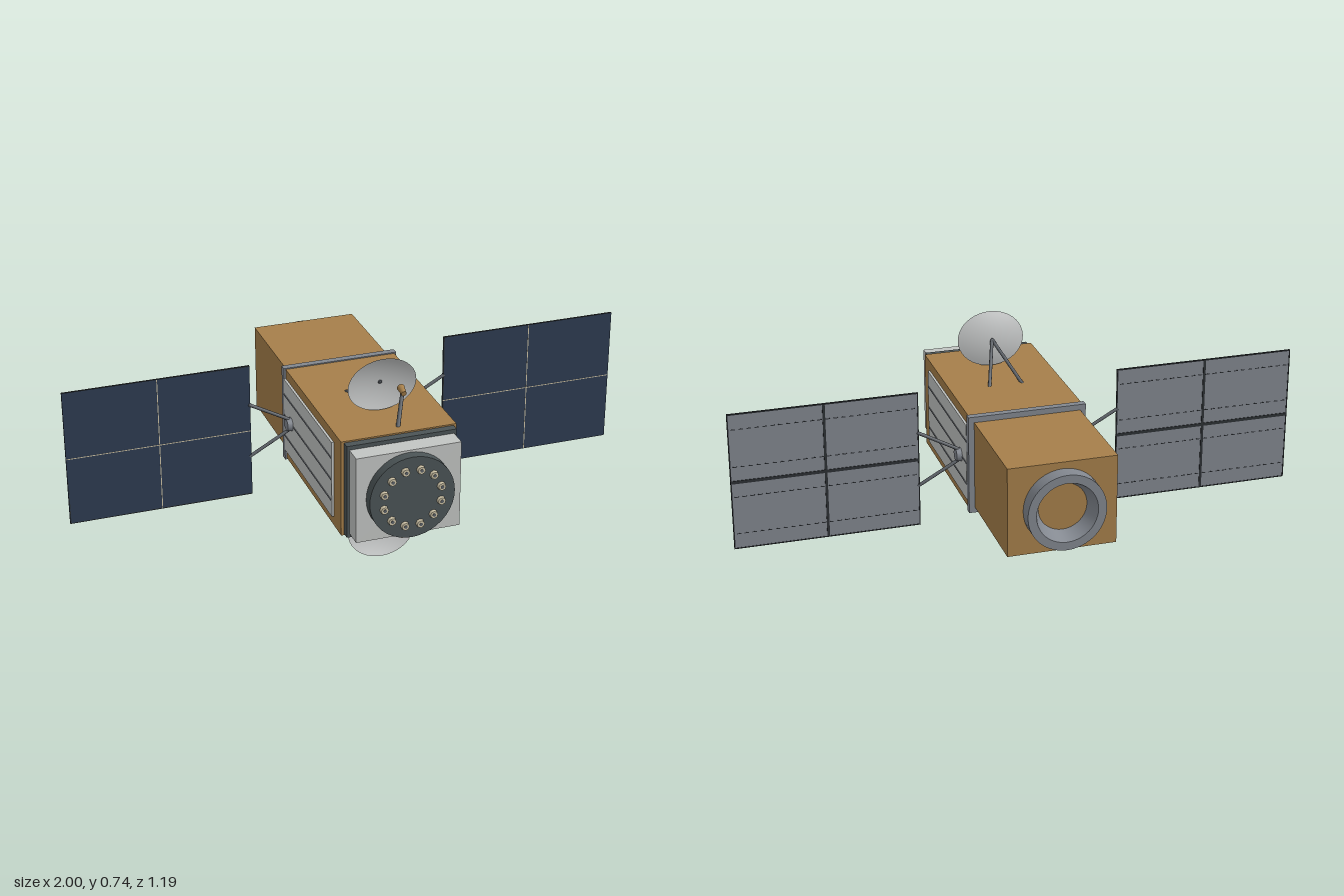
import * as THREE from 'three';
import { toCreasedNormals } from 'three/addons/utils/BufferGeometryUtils.js';

const material = (name, color, side = THREE.FrontSide) => {
  const m = new THREE.MeshStandardMaterial({ color, side });
  m.name = name;
  return m;
};

export function createModel() {
  const model = new THREE.Group();
  model.name = 'satellite';
  const gold = material('gold foil', 0xa67f4a);
  const light = material('light grey', 0xc2c5c3);
  const dish = material('dish grey', 0xc2c4c4, THREE.DoubleSide);
  const steel = material('blue grey', 0x82878f);
  const dark = material('dark slate', 0x4b5456);
  const rod = material('rod grey', 0x5d6268);
  const navy = material('solar navy', 0x2d3c51);
  const beige = material('beige', 0xcdc2a6);
  const black = material('charcoal', 0x2c3033);
  const CY = 0.3725;
  const FRONT = new THREE.Vector3(0, 0, 1);
  const UP = new THREE.Vector3(0, 1, 0);

  const add = (name, geometry, mat, x = 0, y = 0, z = 0, parent = model) => {
    const mesh = new THREE.Mesh(geometry, mat);
    mesh.name = name;
    mesh.position.set(x, y, z);
    parent.add(mesh);
    return mesh;
  };
  const box = (name, w, h, d, mat, x, y, z, parent) =>
    add(name, new THREE.BoxGeometry(w, h, d), mat, x, y, z, parent);
  // Cylinder or cone between two points
  const bar = (name, a, b, r0, r1, mat, parent, sides = 10) => {
    const p = new THREE.Vector3(...a), q = new THREE.Vector3(...b);
    const mesh = add(name, new THREE.CylinderGeometry(r1, r0, p.distanceTo(q), sides), mat, 0, 0, 0, parent);
    mesh.position.copy(p).lerp(q, 0.5);
    mesh.quaternion.setFromUnitVectors(UP, q.sub(p).normalize());
    return mesh;
  };

  // Body blocks, collar and front section
  box('mainBody', 0.4, 0.346, 0.592, gold, 0, CY, 0.156);
  box('rearBody', 0.374, 0.314, 0.4, gold, 0, CY, -0.34);
  box('collar', 0.414, 0.354, 0.025, steel, 0, CY, -0.142);
  box('frontFrame', 0.38, 0.336, 0.03, dark, 0, CY, 0.465);
  box('frontBox', 0.362, 0.308, 0.066, light, 0, CY, 0.512);

  // Front drum with a ring of small nozzles
  bar('frontDrum', [0, CY, 0.54], [0, CY, 0.58], 0.147, 0.147, dark, model, 40);
  for (let i = 0; i < 12; i++) {
    const a = (i + 0.5) * Math.PI / 6;
    const x = Math.cos(a) * 0.102, y = CY + Math.sin(a) * 0.102;
    bar('nozzle', [x, y, 0.578], [x, y, 0.592], 0.015, 0.013, beige, model, 8);
    bar('nozzleTip', [x, y, 0.59], [x, y, 0.5935], 0.006, 0.006, rod, model, 8);
  }

  // Hollow ring at the rear
  const ringProfile = [[0.083, 0], [0.105, 0.053], [0.134, 0.053], [0.134, 0], [0.083, 0]]
    .map(([r, h]) => new THREE.Vector2(r, h)).reverse();
  const ringGeometry = toCreasedNormals(new THREE.LatheGeometry(ringProfile, 40), 0.6);
  const ring = add('rearRing', ringGeometry, steel, 0, CY, -0.54);
  ring.material = steel.clone();
  ring.material.name = 'ring blue grey';
  ring.material.side = THREE.DoubleSide;
  ring.quaternion.setFromUnitVectors(UP, FRONT.clone().negate());

  for (const s of [1, -1]) {
    // Striped radiator on each side
    box('radiator', 0.01, 0.276, 0.51, light, s * 0.203, CY, 0.126);
    for (const dy of [-0.078, 0, 0.08])
      box('radiatorStripe', 0.003, 0.006, 0.505, steel, s * 0.208, CY + dy, 0.123);

    // Solar wing, its hub and braces
    const wing = new THREE.Group();
    wing.name = s > 0 ? 'leftWing' : 'rightWing';
    wing.position.set(0, CY, -0.052);
    model.add(wing);
    const mid = s * 0.677;
    bar('hub', [s * 0.2, 0, 0], [s * 0.226, 0, 0], 0.026, 0.022, steel, wing, 20);
    for (const t of [1, -1])
      bar('brace', [s * 0.215, t * 0.02, 0], [s * 0.36, t * 0.1, 0], 0.006, 0.006, rod, wing);
    box('solarCells', 0.646, 0.49, 0.003, navy, mid, 0, 0.0015, wing);
    box('wingBack', 0.646, 0.49, 0.003, steel, mid, 0, -0.0015, wing);
    box('cellSeamAcross', 0.646, 0.003, 0.001, beige, mid, 0, 0.003, wing);
    box('cellSeamUpright', 0.003, 0.49, 0.001, beige, mid, 0, 0.003, wing);
    box('backRibAcross', 0.646, 0.011, 0.003, black, mid, 0, -0.0035, wing);
    box('backRibUpright', 0.009, 0.49, 0.003, black, mid, 0, -0.0035, wing);
    for (const t of [1, -1]) {
      box('wingEdge', 0.646, 0.004, 0.007, black, mid, t * 0.244, -0.0005, wing);
      box('wingSideEdge', 0.004, 0.49, 0.007, black, mid + t * 0.321, 0, -0.0005, wing);
      // Dashed seams on the back
      for (const y of [0.055, 0.19])
        for (let i = 0; i < 24; i++)
          box('backDash', 0.015, 0.003, 0.001, black, mid + (i - 11.5) * 0.0265, t * y, -0.0032, wing);
    }

    // Dish antenna above and below
    const antenna = new THREE.Group();
    antenna.name = s > 0 ? 'topAntenna' : 'bottomAntenna';
    antenna.position.y = CY;
    model.add(antenna);
    const bowl = [];
    for (let i = 0; i <= 8; i++) bowl.push(new THREE.Vector2(0.12 * i / 8, 0.021 * (i / 8) ** 2));
    const bowlGeometry = new THREE.LatheGeometry(bowl, 40);
    bowlGeometry.scale(1, 1, 0.82);
    const reflector = add('dish', bowlGeometry, dish, 0, s * 0.276, 0.27, antenna);
    reflector.rotation.x = Math.PI / 2 + s * 0.12;
    bar('dishCentre', [0, s * 0.276, 0.268], [0, s * 0.275, 0.274], 0.006, 0.006, rod, antenna);
    for (const t of [1, -1])
      bar('dishStrut', [t * 0.06, s * 0.168, 0.097], [0, s * 0.276, 0.272], 0.006, 0.006, rod, antenna);
    bar('feedArm', [0.012, s * 0.168, 0.408], [0.048, s * 0.264, 0.351], 0.0075, 0.0065, rod, antenna);
    bar('feedHorn', [0.048, s * 0.266, 0.366], [0.05, s * 0.273, 0.33], 0.009, 0.013, gold, antenna, 12);
  }
  return model;
}
